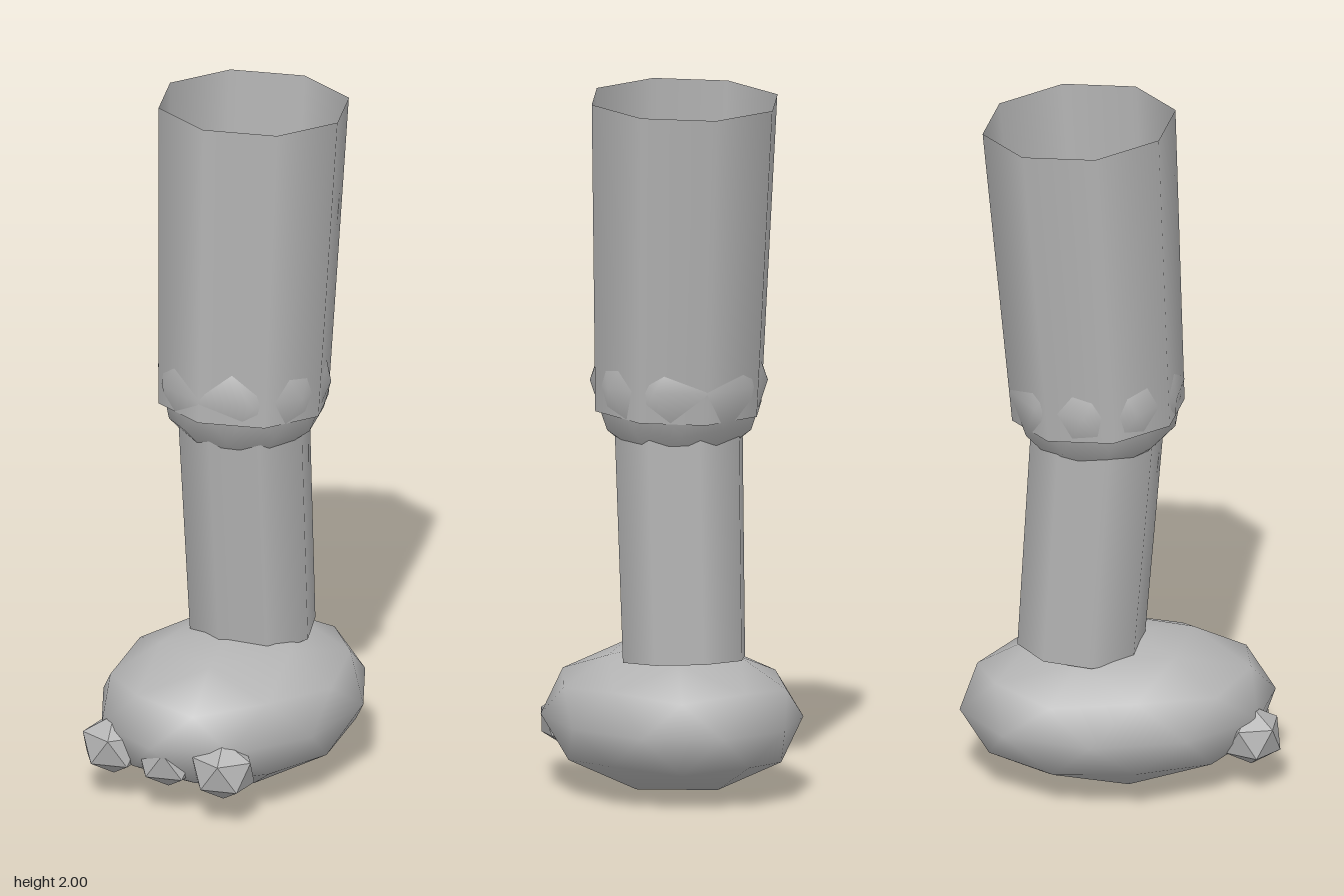
import * as THREE from 'three';

const grey = new THREE.MeshStandardMaterial({ color: 0xb4b4b4 });
grey.name = 'grey';
grey.side = THREE.DoubleSide;

// Icosphere with its poles on y
function ball(name, detail, [x, y, z], [rx, ry, rz]) {
  const geo = new THREE.IcosahedronGeometry(1, detail);
  geo.rotateZ(-Math.atan(2 / (1 + Math.sqrt(5))));
  geo.scale(rx, ry, rz);
  const mesh = new THREE.Mesh(geo, grey);
  mesh.name = name;
  mesh.position.set(x, y, z);
  return mesh;
}

// Open eight-sided tube between two points, smooth around
function tube(name, bottom, top, rBottom, rTop) {
  const a = new THREE.Vector3(...bottom);
  const b = new THREE.Vector3(...top);
  const axis = b.clone().sub(a);
  const geo = new THREE.CylinderGeometry(rTop, rBottom, axis.length(), 8, 1, true);
  const mesh = new THREE.Mesh(geo, grey);
  mesh.name = name;
  mesh.position.copy(a).add(b).multiplyScalar(0.5);
  mesh.quaternion.setFromUnitVectors(new THREE.Vector3(0, 1, 0), axis.normalize());
  return mesh;
}

export function createModel() {
  const leg = new THREE.Group();
  leg.name = 'leg';

  // Thigh, knee and shin
  leg.add(tube('thigh', [0, 1.1, -0.055], [0, 1.983, -0.11], 0.246, 0.275));
  leg.add(ball('knee', 1, [0, 1.177, -0.06], [0.25, 0.25, 0.25]));
  leg.add(tube('shin', [0, 0.388, -0.105], [0, 1.16, -0.05], 0.181, 0.191));

  // Foot with three faceted toes
  leg.add(ball('foot', 1, [0, 0.213, 0], [0.36, 0.213, 0.45]));
  for (const [name, x] of [['rightToe', -0.18], ['middleToe', 0], ['leftToe', 0.18]]) {
    leg.add(ball(name, 0, [x, 0.155, 0.35], [0.1, 0.088, 0.092]));
  }
  return leg;
}
